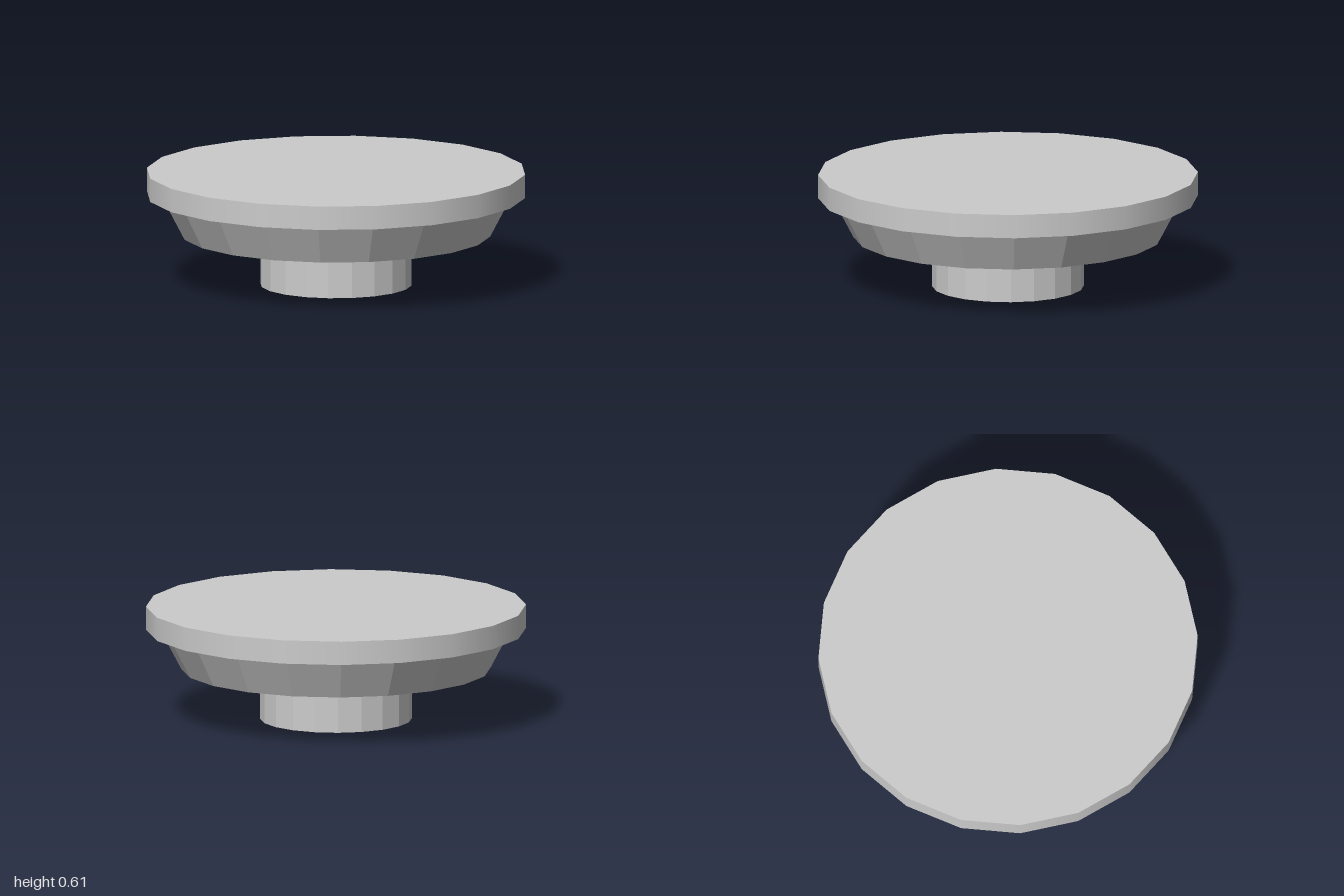
import * as THREE from 'three';

const SIDES = 20;

// Upright 20-sided drum between two heights
function drum(name, topRadius, bottomRadius, y0, y1, flatShading) {
  const geometry = new THREE.CylinderGeometry(topRadius, bottomRadius, y1 - y0, SIDES);
  const material = new THREE.MeshStandardMaterial({ color: 0xcccccc, flatShading });
  const mesh = new THREE.Mesh(geometry, material);
  mesh.name = name;
  mesh.position.y = (y0 + y1) / 2;
  return mesh;
}

export function createModel() {
  const model = new THREE.Group();
  model.name = 'roundPedestal';
  model.add(
    drum('foot', 0.4, 0.4, 0, 0.27, true),
    drum('taperedBody', 0.925, 0.815, 0.27, 0.48, true),
    drum('topDisc', 1, 1, 0.48, 0.605, false), // smooth rim
  );
  return model;
}
